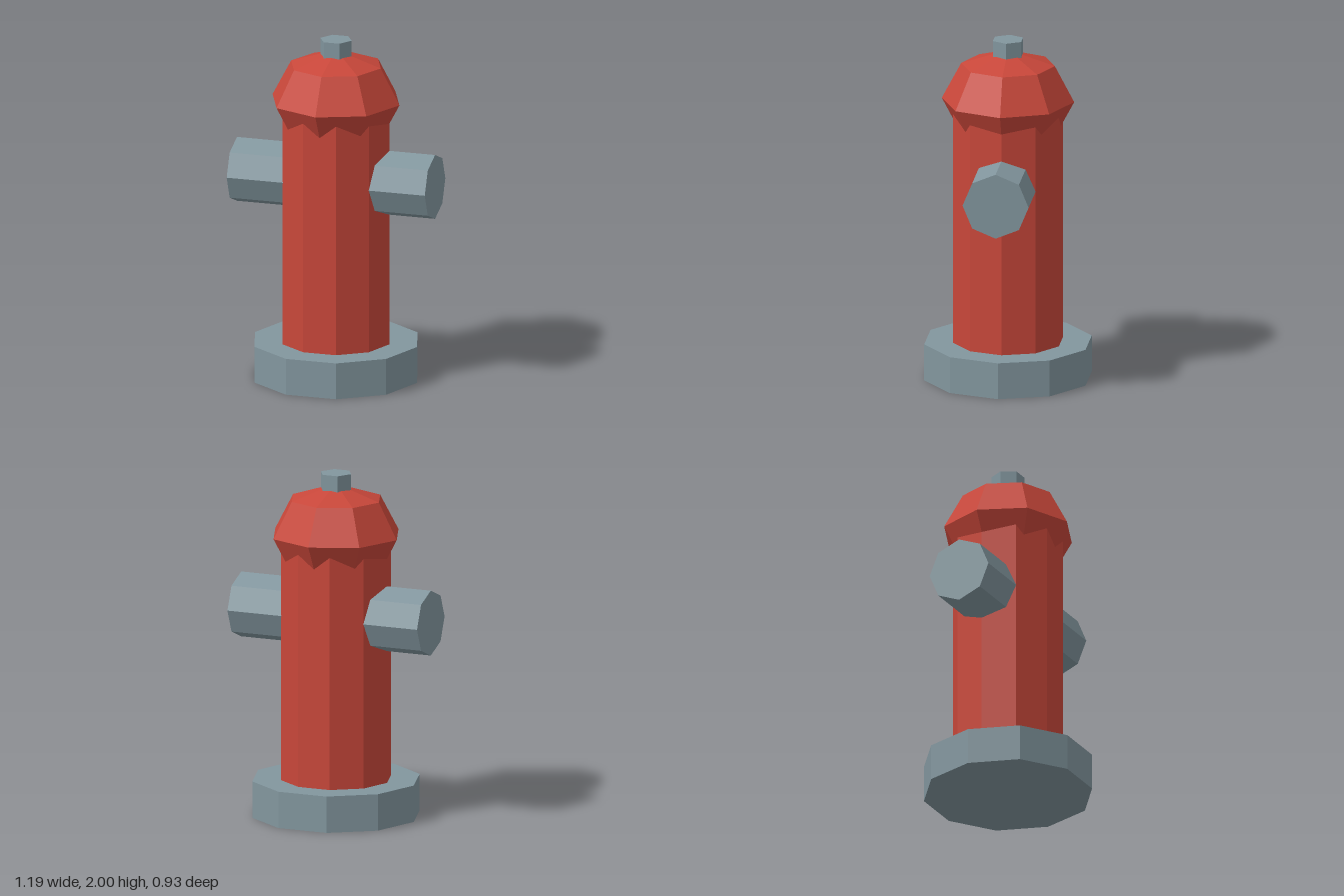
import * as THREE from 'three';

export function createModel() {
  const model = new THREE.Group();
  model.name = 'fireHydrant';

  const red = new THREE.MeshStandardMaterial({ color: 0xc8473a, flatShading: true });
  red.name = 'red paint';
  const grey = new THREE.MeshStandardMaterial({ color: 0x82969e, flatShading: true });
  grey.name = 'blue grey metal';

  const add = (name, geometry, material, y) => {
    const mesh = new THREE.Mesh(geometry, material);
    mesh.name = name;
    mesh.position.y = y;
    model.add(mesh);
    return mesh;
  };

  // Upright prism with a corner on the x axis, spanning y0 to y1
  const prism = (name, radius, sides, y0, y1, material) => {
    const geometry = new THREE.CylinderGeometry(radius, radius, y1 - y0, sides, 1, false, Math.PI / 2);
    return add(name, geometry, material, (y0 + y1) / 2);
  };

  prism('base', 0.488, 10, 0, 0.213, grey);
  prism('barrel', 0.32, 10, 0.2, 1.64, red);

  // Faceted, slightly squashed dome overhanging the barrel
  add('dome', new THREE.SphereGeometry(0.381, 8, 4).scale(1, 0.78, 1), red, 1.64);

  prism('topNut', 0.094, 6, 1.88, 2, grey);

  // Octagonal side outlets, starting inside the barrel
  for (const [name, side] of [['leftOutlet', 1], ['rightOutlet', -1]]) {
    const outlet = new THREE.CylinderGeometry(0.19, 0.19, 0.445, 8).rotateZ(-side * Math.PI / 2);
    add(name, outlet, grey, 1.175).position.x = side * 0.3725;
  }

  return model;
}
